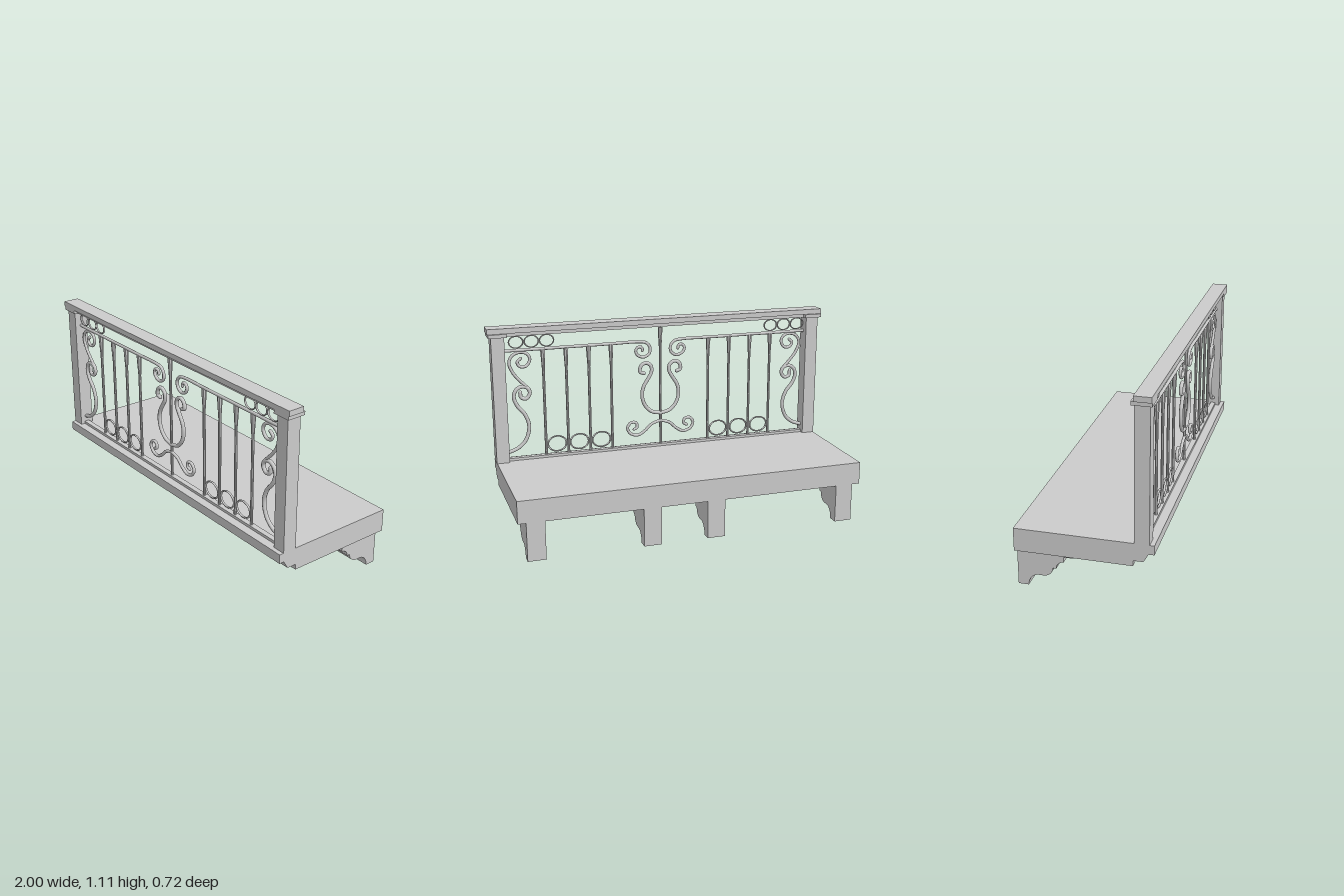
import * as THREE from 'three';

const RAIL_Z = 0.3;

export function createModel() {
  const model = new THREE.Group();
  model.name = 'balcony';
  const mat = new THREE.MeshStandardMaterial({ color: 0xcccccc });

  const add = (name, geo, x = 0, y = 0, z = 0) => {
    const mesh = new THREE.Mesh(geo, mat);
    mesh.name = name;
    mesh.position.set(x, y, z);
    model.add(mesh);
    return mesh;
  };
  // box given by its extents
  const box = (name, x0, x1, y0, y1, z0, z1) =>
    add(name, new THREE.BoxGeometry(x1 - x0, y1 - y0, z1 - z0),
      (x0 + x1) / 2, (y0 + y1) / 2, (z0 + z1) / 2);
  // side profile drawn in (z, y), extruded along x and centred
  const extrudeX = (shape, width) =>
    new THREE.ExtrudeGeometry(shape, { depth: width, bevelEnabled: false, curveSegments: 10 })
      .rotateY(-Math.PI / 2).translate(width / 2, 0, 0);
  // wrought iron rod through (x, y) points
  const rod = (name, pts, side, r) => {
    const curve = new THREE.CatmullRomCurve3(
      pts.map(([x, y]) => new THREE.Vector3(x * side, y, RAIL_Z)), false, 'centripetal');
    add(name, new THREE.TubeGeometry(curve, pts.length * 7, r, 8));
    for (const t of [0, 1]) {
      const p = curve.getPoint(t);
      add(name + 'End', new THREE.SphereGeometry(r, 8, 6), p.x, p.y, p.z);
    }
  };

  // Floor slab with moulded front edge
  const slab = new THREE.Shape([
    [-0.36, 0.215], [0.255, 0.215], [0.255, 0.245], [0.307, 0.245],
    [0.333, 0.29], [0.362, 0.29], [0.362, 0.341], [-0.36, 0.341],
  ].map(([z, y]) => new THREE.Vector2(z, y)));
  add('floorSlab', extrudeX(slab, 1.956));

  // Scrolled brackets under the back of the slab
  const bracket = new THREE.Shape();
  const quarter = (cx, cy, ex, ey) => {
    const { x, y } = bracket.currentPoint;
    const k = 0.5523;
    bracket.bezierCurveTo(x + (cx - x) * k, y + (cy - y) * k,
      ex + (cx - ex) * k, ey + (cy - ey) * k, ex, ey);
  };
  bracket.moveTo(-0.36, 0.215);
  bracket.lineTo(-0.36, 0);
  bracket.lineTo(-0.305, 0);
  quarter(-0.305, 0.065, -0.25, 0.065);
  bracket.lineTo(-0.225, 0.065);
  quarter(-0.173, 0.065, -0.173, 0.115);
  bracket.lineTo(-0.155, 0.115);
  quarter(-0.155, 0.155, -0.115, 0.155);
  bracket.lineTo(-0.115, 0.185);
  bracket.lineTo(-0.065, 0.185);
  bracket.lineTo(-0.065, 0.215);
  const bracketGeo = extrudeX(bracket, 0.1);
  for (const x of [-0.884, -0.113, 0.25, 0.884]) add('bracket', bracketGeo, x);

  // Handrail and bottom rail
  box('handrail', -1, 1, 1.083, 1.112, 0.26, 0.35);
  box('handrailUnderside', -0.9, 0.9, 1.063, 1.083, 0.275, 0.33);
  box('bottomRail', -0.91, 0.91, 0.341, 0.356, 0.285, 0.315);

  // Upright bar with a flared head
  const upright = (name, x, top) => {
    const profile = [[0, 0.35], [0.008, 0.35], [0.008, top - 0.12], [0.014, top - 0.015],
      [0.014, top], [0, top]].map(([r, y]) => new THREE.Vector2(r, y));
    const mesh = add(name, new THREE.LatheGeometry(profile, 8).toNonIndexed(), x, 0, RAIL_Z);
    mesh.geometry.computeVertexNormals();
  };
  upright('centreBar', 0, 1.055);

  // Oval ring
  const ring = (x, y, rx, ry) =>
    add('ring', new THREE.TorusGeometry(1, 0.1, 8, 28).scale(rx, ry, 0.06), x, y, RAIL_Z);
  for (const x of [-0.86, -0.775, -0.69, 0.664, 0.75, 0.837]) ring(x, 1.024, 0.04, 0.033);

  const topScroll = [[-0.91, 0.978], [-0.6, 0.978], [-0.3, 0.978], [-0.13, 0.978], [-0.085, 0.97],
    [-0.062, 0.94], [-0.067, 0.905], [-0.1, 0.886], [-0.137, 0.9], [-0.148, 0.928],
    [-0.132, 0.948], [-0.11, 0.942], [-0.108, 0.925]];
  const lyre = [[-0.1, 0.79], [-0.123, 0.8], [-0.116, 0.836], [-0.087, 0.85], [-0.058, 0.832],
    [-0.054, 0.795], [-0.075, 0.755], [-0.102, 0.71], [-0.112, 0.66], [-0.097, 0.6],
    [-0.055, 0.556], [0, 0.542]];
  const footScroll = [[0, 0.497], [-0.055, 0.478], [-0.098, 0.44], [-0.14, 0.418], [-0.183, 0.43],
    [-0.203, 0.465], [-0.182, 0.497], [-0.15, 0.493], [-0.145, 0.466], [-0.163, 0.455]];
  const upperSideScroll = [[-0.815, 0.93], [-0.834, 0.91], [-0.82, 0.885], [-0.785, 0.885],
    [-0.763, 0.92], [-0.775, 0.952], [-0.815, 0.966], [-0.86, 0.95], [-0.88, 0.91],
    [-0.863, 0.855], [-0.825, 0.805], [-0.787, 0.765]];
  const lowerSideScroll = [[-0.825, 0.735], [-0.82, 0.705], [-0.79, 0.698], [-0.77, 0.73],
    [-0.785, 0.76], [-0.82, 0.767], [-0.85, 0.748], [-0.862, 0.71], [-0.845, 0.66],
    [-0.803, 0.605], [-0.782, 0.535], [-0.803, 0.455], [-0.85, 0.41], [-0.91, 0.388]];

  for (const side of [1, -1]) {
    // Posts and their caps
    const span = (a, b) => [Math.min(a * side, b * side), Math.max(a * side, b * side)];
    box('post', ...span(0.906, 0.98), 0.341, 1.063, 0.26, 0.338);
    box('postCap', ...span(0.893, 0.995), 1.063, 1.083, 0.247, 0.35);

    // Bars with rings between their feet
    for (let i = 0; i < 4; i++) {
      const x = 0.295 + i * 0.131;
      upright('bar', x * side, 0.975);
      if (i < 3) ring((x + 0.066) * side, 0.415, 0.054, 0.045);
    }

    // Scrollwork
    rod('topRailScroll', topScroll, side, 0.009);
    rod('lyreScroll', lyre, side, 0.011);
    rod('footScroll', footScroll, side, 0.009);
    rod('upperSideScroll', upperSideScroll, side, 0.009);
    rod('lowerSideScroll', lowerSideScroll, side, 0.011);
  }
  return model;
}
